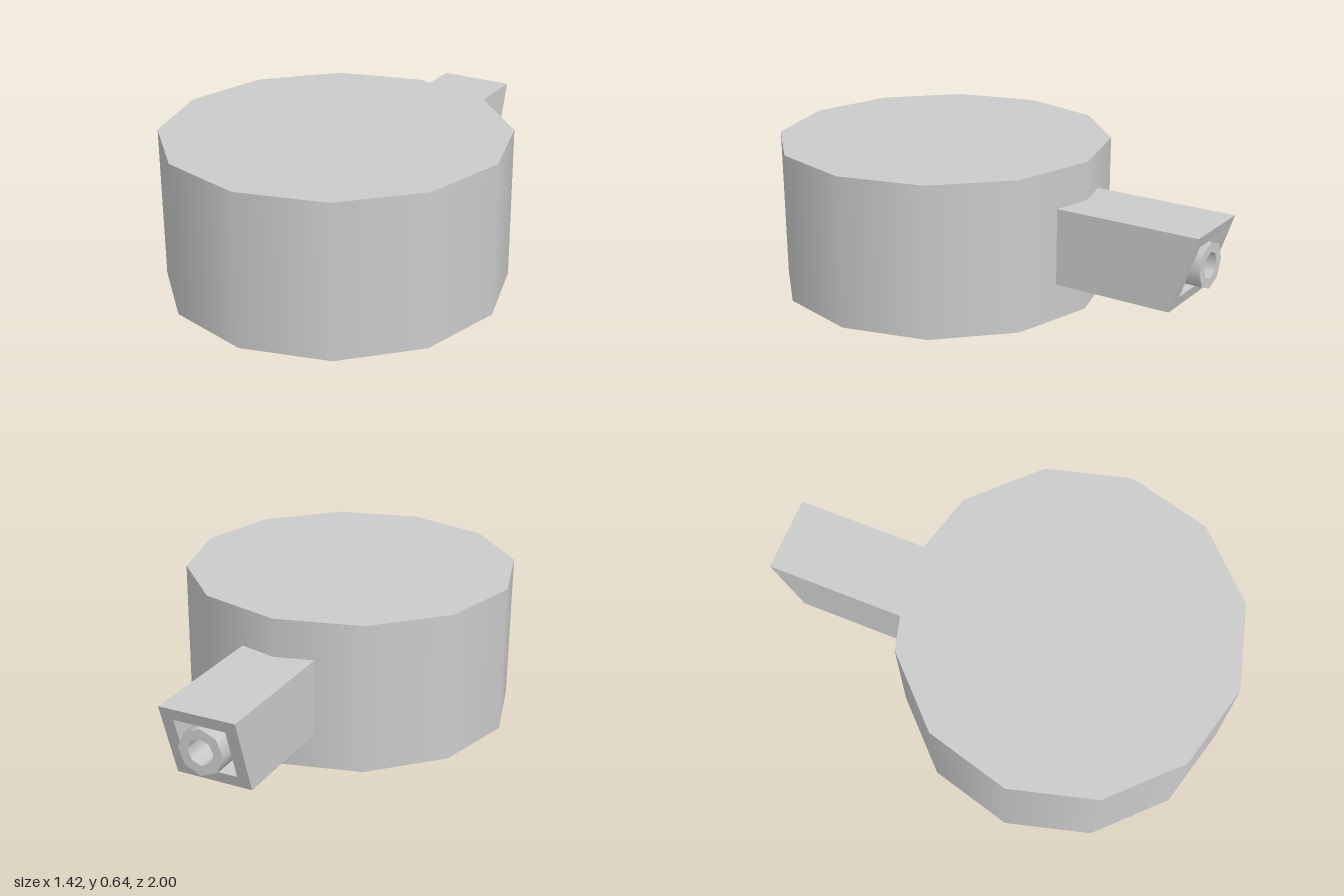
import * as THREE from 'three';

const SIDES = 12, R = 0.712, H = 0.64, CZ = 0.287;
const HALF = 0.162, MID_Y = 0.315;
const grey = new THREE.MeshStandardMaterial({ color: 0xcccccc, side: THREE.DoubleSide });

function add(parent, name, geometry) {
  const mesh = new THREE.Mesh(geometry, grey);
  mesh.name = name;
  parent.add(mesh);
  return mesh;
}

// Square ring of six corners; the inner end follows the cup wall, the outer end is slanted
function ring(half, atWall) {
  const corners = [[-1, -1], [0, -1], [1, -1], [1, 1], [0, 1], [-1, 1]];
  return corners.map(([sx, sy]) => {
    const x = sx * half, y = MID_Y + sy * half;
    const z = atWall
      ? CZ - R + Math.abs(x) * Math.tan(Math.PI / 12)
      : -1 + (MID_Y + HALF - y) / (2 * HALF) * 0.11;
    return [x, y, z];
  });
}

// Flat-shaded skin through consecutive rings
function loft(rings) {
  const pos = [];
  for (let i = 0; i < rings.length - 1; i++) {
    const a = rings[i], b = rings[i + 1], n = a.length;
    for (let j = 0; j < n; j++) {
      const k = (j + 1) % n;
      pos.push(...a[j], ...b[j], ...b[k], ...a[j], ...b[k], ...a[k]);
    }
  }
  const g = new THREE.BufferGeometry();
  g.setAttribute('position', new THREE.Float32BufferAttribute(pos, 3));
  // Make the outer skin face outwards
  for (let i = 0; i < pos.length; i += 9) {
    for (let c = 0; c < 3; c++) {
      const p = g.attributes.position.array, t = p[i + 3 + c];
      p[i + 3 + c] = p[i + 6 + c];
      p[i + 6 + c] = t;
    }
  }
  g.computeVertexNormals();
  return g;
}

export function createModel() {
  const model = new THREE.Group();

  // Thin round cup, closed on top and open below
  const cup = new THREE.Group();
  cup.name = 'cup';
  cup.position.z = CZ;
  model.add(cup);
  add(cup, 'cupWall', new THREE.CylinderGeometry(R, R, H, SIDES, 1, true)).position.y = H / 2;
  const top = add(cup, 'cupTop', new THREE.CircleGeometry(R, SIDES));
  top.rotation.x = -Math.PI / 2;
  top.position.y = H;

  // Hollow square arm with a slanted end
  const hole = 0.11;
  add(model, 'squareArm', loft([ring(HALF, true), ring(HALF, false), ring(hole, false), ring(hole, true)]));

  // Eight-sided tube inside the arm
  const tube = new THREE.Group();
  tube.name = 'innerTube';
  const zEnd = -0.98, zStart = -0.41, len = zStart - zEnd;
  tube.position.set(0, MID_Y, zEnd);
  model.add(tube);
  for (const [name, r] of [['tubeOuter', 0.097], ['tubeBore', 0.055]]) {
    const g = new THREE.CylinderGeometry(r, r, len, 8, 1, true);
    g.rotateX(Math.PI / 2).translate(0, 0, len / 2);
    add(tube, name, g);
  }
  const rim = new THREE.RingGeometry(0.055, 0.097, 8, 1);
  add(tube, 'tubeRim', rim.rotateY(Math.PI));

  return model;
}
